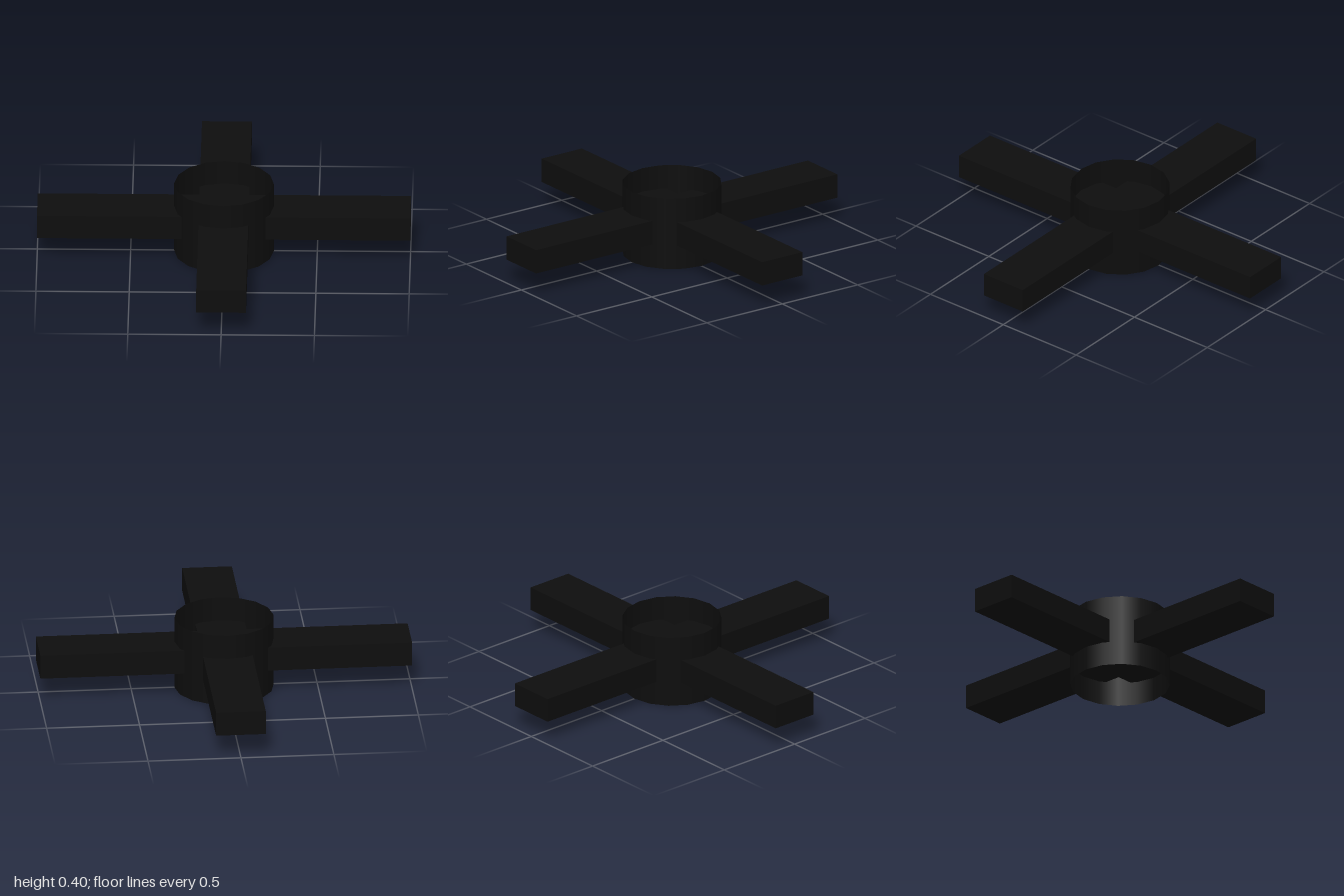
import * as THREE from 'three';

const ARM_WIDTH = 0.267;
const ARM_HEIGHT = 0.133;
const HUB_RADIUS = 0.267;
const HUB_HEIGHT = 0.4;

export function createModel() {
  const group = new THREE.Group();
  group.name = 'crossHub';

  const black = new THREE.MeshStandardMaterial({ color: 0x0d0d0d, side: THREE.DoubleSide });
  black.name = 'black';

  const add = (name, geometry, z = 0) => {
    const mesh = new THREE.Mesh(geometry, black);
    mesh.name = name;
    mesh.position.set(0, HUB_HEIGHT / 2, z);
    group.add(mesh);
  };

  // Thin open sleeve around the crossing
  add('hubSleeve', new THREE.CylinderGeometry(HUB_RADIUS, HUB_RADIUS, HUB_HEIGHT, 16, 1, true));

  // Full-length bar from side to side
  add('sideBar', new THREE.BoxGeometry(2, ARM_HEIGHT, ARM_WIDTH));

  // Front and back arms butt against the bar
  const length = 1 - ARM_WIDTH / 2;
  for (const [name, sign] of [['frontArm', 1], ['backArm', -1]]) {
    add(name, new THREE.BoxGeometry(ARM_WIDTH, ARM_HEIGHT, length), sign * (1 - length / 2));
  }

  return group;
}
